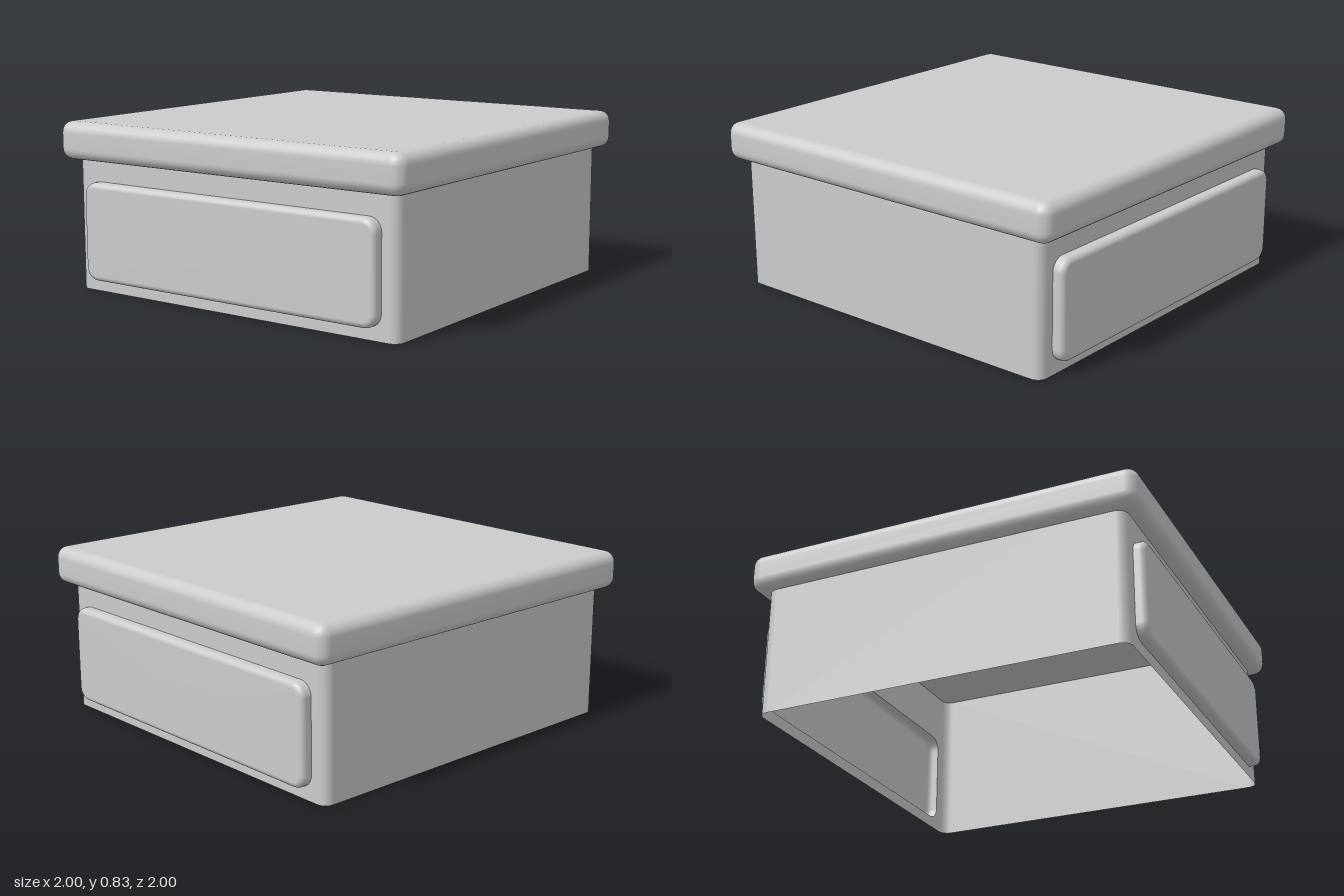
import * as THREE from 'three';

const material = new THREE.MeshStandardMaterial({ color: 0xcccccc, side: THREE.DoubleSide });

// Body half sizes, corner radius and inner height
const BX = 0.94, BZ = 0.925, BR = 0.05, BH = 0.81;
// Drawer front half width, half height, corner radius and centre height
const DX = 0.855, DY = 0.2425, DR = 0.065, DC = 0.3025;

function add(parent, name, geometry, x = 0, y = 0, z = 0) {
  const mesh = new THREE.Mesh(geometry, material);
  mesh.name = name;
  mesh.position.set(x, y, z);
  parent.add(mesh);
  return mesh;
}

// Counter-clockwise rounded rectangle, always the same number of points
function roundedRect(hx, hy, r, steps = 6) {
  const points = [];
  [[1, 1], [-1, 1], [-1, -1], [1, -1]].forEach(([sx, sy], corner) => {
    for (let i = 0; i <= steps; i++) {
      const a = (corner + i / steps) * Math.PI / 2;
      points.push(new THREE.Vector2(sx * (hx - r) + r * Math.cos(a), sy * (hy - r) + r * Math.sin(a)));
    }
  });
  return points;
}

// Smooth shell through rounded rectangles [halfX, halfY, radius, z], capped at the last one
function loft(rings) {
  const positions = [], index = [];
  let n = 0;
  rings.forEach(([hx, hy, r, z], k) => {
    const points = roundedRect(hx, hy, r);
    n = points.length;
    points.forEach((p, i) => {
      positions.push(p.x, p.y, z);
      if (k === 0) return;
      const a = (k - 1) * n + i, b = (k - 1) * n + (i + 1) % n;
      index.push(a, b, b + n, a, b + n, a + n);
    });
  });
  const last = (rings.length - 1) * n, centre = rings.length * n;
  positions.push(0, 0, rings[rings.length - 1][3]);
  for (let i = 0; i < n; i++) index.push(last + i, last + (i + 1) % n, centre);
  const geometry = new THREE.BufferGeometry();
  geometry.setAttribute('position', new THREE.Float32BufferAttribute(positions, 3));
  geometry.setIndex(index);
  geometry.computeVertexNormals();
  return geometry;
}

// Rings of a quarter-round edge; from and to are angles, 0 at the side and PI/2 at the top
function roundEdge(hx, hy, corner, bevel, z, from, to, steps = 6) {
  return Array.from({ length: steps + 1 }, (_, i) => {
    const a = from + (to - from) * i / steps;
    const inset = bevel * (1 - Math.cos(a));
    return [hx - inset, hy - inset, Math.max(corner - inset, 0.008), z + bevel * Math.sin(a)];
  });
}

export function createModel() {
  const model = new THREE.Group();
  model.name = 'sideTable';

  // Table top: thick rounded slab, open underneath where the body enters it
  const bottom = 0.648, top = 0.835, bevel = 0.055;
  const slab = loft([
    [BX, BZ, BR, bottom],
    ...roundEdge(1, 1, 0.06, bevel, bottom + bevel, -Math.PI / 2, 0),
    ...roundEdge(1, 1, 0.06, bevel, top - bevel, 0, Math.PI / 2),
  ]);
  add(model, 'tableTop', slab).rotation.x = -Math.PI / 2;

  // Body: thin walls open at the bottom
  const body = new THREE.Group();
  body.name = 'body';
  model.add(body);

  const wx = BX - BR, wz = BZ - BR;
  const face = new THREE.Shape([[-wx, 0], [wx, 0], [wx, BH], [-wx, BH]].map(([x, y]) => new THREE.Vector2(x, y)));
  const opening = roundedRect(DX, DY, DR).map((p) => new THREE.Vector2(p.x, p.y + DC));
  face.holes.push(new THREE.Path(opening.reverse()));
  const wall = new THREE.ShapeGeometry(face);

  // Drawer front: hollow pillow-edged panel set over the wall opening
  const edge = 0.028, depth = 0.055;
  const panel = loft([
    [DX, DY, DR, 0],
    ...roundEdge(DX, DY, DR, edge, depth - edge, 0, Math.PI / 2),
  ]);

  for (const side of [1, -1]) {
    const turn = side > 0 ? 0 : Math.PI;
    add(body, side > 0 ? 'frontWall' : 'backWall', wall, 0, 0, side * BZ).rotation.y = turn;
    add(model, side > 0 ? 'frontDrawer' : 'backDrawer', panel, 0, DC, side * BZ).rotation.y = turn;
    add(body, side > 0 ? 'leftWall' : 'rightWall', new THREE.PlaneGeometry(2 * wz, BH),
      side * BX, BH / 2, 0).rotation.y = side * Math.PI / 2;
    // Rounded vertical corners
    for (const end of [1, -1]) {
      const start = Math.atan2(side, end) - Math.PI / 4;
      add(body, 'corner', new THREE.CylinderGeometry(BR, BR, BH, 6, 1, true, start, Math.PI / 2),
        side * wx, BH / 2, end * wz);
    }
  }

  // Inner ceiling
  const ceiling = new THREE.ShapeGeometry(new THREE.Shape(roundedRect(BX, BZ, BR)));
  add(body, 'ceiling', ceiling, 0, BH, 0).rotation.x = Math.PI / 2;

  return model;
}
